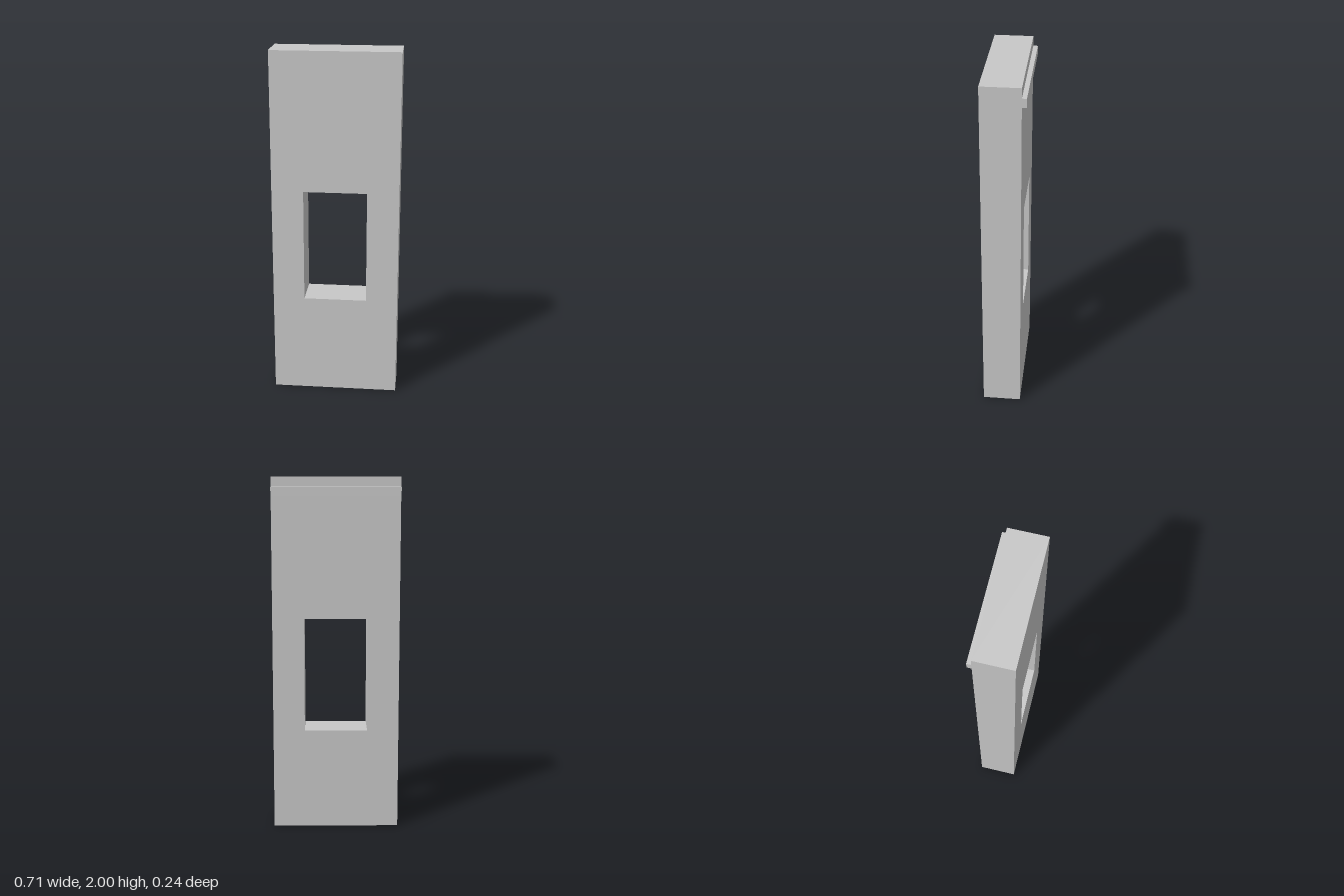
import * as THREE from 'three';

// Rectangle traced into a shape or hole path
function rect(path, x0, y0, x1, y1) {
  path.moveTo(x0, y0);
  path.lineTo(x1, y0);
  path.lineTo(x1, y1);
  path.lineTo(x0, y1);
  path.closePath();
  return path;
}

export function createModel() {
  const group = new THREE.Group();
  group.name = 'wallPanel';
  const grey = new THREE.MeshStandardMaterial({ color: 0xc8c8c8 });
  grey.name = 'light grey';

  const halfWidth = 0.357, front = 0.12, back = -0.095, ledgeBack = -0.12;

  // Upright slab with a rectangular window opening
  const outline = rect(new THREE.Shape(), -halfWidth, 0, halfWidth, 2);
  outline.holes.push(rect(new THREE.Path(), -0.178, 0.572, 0.178, 1.216));
  const slab = new THREE.Mesh(
    new THREE.ExtrudeGeometry(outline, { depth: front - back, bevelEnabled: false }), grey);
  slab.name = 'slab';
  slab.position.z = back;
  group.add(slab);

  // Thin rail across the back near the top
  const rail = new THREE.Mesh(
    new THREE.BoxGeometry(halfWidth * 2, 0.05, back - ledgeBack), grey);
  rail.name = 'backRail';
  rail.position.set(0, 1.92, (back + ledgeBack) / 2);
  group.add(rail);

  return group;
}
